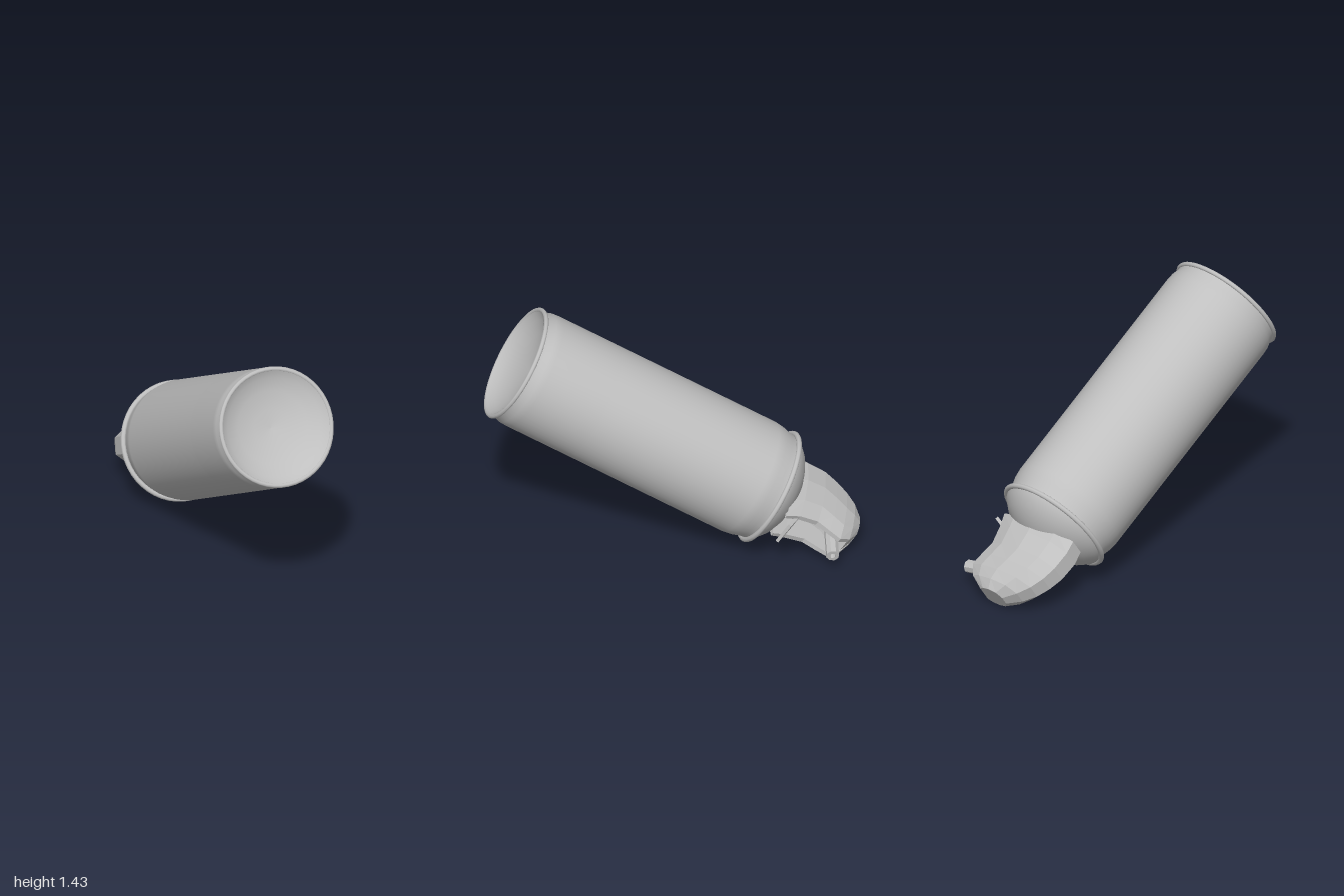
import * as THREE from 'three';

const metal = new THREE.MeshStandardMaterial({ color: 0xbfbfbf, side: THREE.DoubleSide });
metal.name = 'plain grey';

function part(name, geometry, parent) {
  const mesh = new THREE.Mesh(geometry, metal);
  mesh.name = name;
  parent.add(mesh);
  return mesh;
}

// Turned part from [radius, height] pairs, ordered from base to top
function turned(profile, sides = 48) {
  return new THREE.LatheGeometry(profile.map(([r, y]) => new THREE.Vector2(r, y)), sides);
}

function bead(radius, tube, y) {
  return new THREE.TorusGeometry(radius, tube, 8, 48).rotateX(Math.PI / 2).translate(0, y, 0);
}

function faceted(geometry) {
  const flat = geometry.index ? geometry.toNonIndexed() : geometry;
  flat.computeVertexNormals();
  return flat;
}

// C-shaped cross-section: rounded back, two side walls and a slot at the front
function capSection([y, back, front, w, slotEnd, slotHalf]) {
  const len = front - back;
  const half = [
    [back, 0.35 * w], [back + 0.18 * len, 0.85 * w], [back + 0.5 * len, w],
    [back + 0.8 * len, 0.9 * w], [front, 0.65 * w], [front, slotHalf], [slotEnd, slotHalf],
  ];
  const other = half.map(([x, z]) => [x, -z]).reverse();
  return [...half, ...other].map(([x, z]) => [x, y, z]);
}

function loft(loops) {
  const n = loops[0].length;
  const index = [];
  for (let i = 0; i < loops.length - 1; i++) {
    for (let j = 0; j < n; j++) {
      const a = i * n + j, b = i * n + (j + 1) % n;
      index.push(a, b, a + n, b, b + n, a + n);
    }
  }
  // Bridge the two halves of the last loop to close the top
  const top = (loops.length - 1) * n;
  for (let j = 0; j < n / 2 - 1; j++) {
    const a = top + j, b = a + 1, c = top + n - 1 - j, d = c - 1;
    index.push(a, b, c, b, d, c);
  }
  const geometry = new THREE.BufferGeometry();
  geometry.setAttribute('position', new THREE.Float32BufferAttribute(loops.flat(2), 3));
  geometry.setIndex(index);
  return faceted(geometry);
}

export function createModel() {
  const model = new THREE.Group();
  model.name = 'sprayCan';

  // The can is built along +y, then tipped so that its base faces the front
  const can = new THREE.Group();
  can.name = 'can';
  const axis = new THREE.Vector3(0.223, -0.512, -0.83).normalize();
  const side = new THREE.Vector3(1, 0, 0).addScaledVector(axis, -axis.x).normalize();
  const basis = new THREE.Matrix4().makeBasis(side, axis, side.clone().cross(axis));
  can.quaternion.setFromRotationMatrix(basis);
  can.position.set(-0.21, 1.17, 0.81);
  model.add(can);

  // Concave base, rims, wall and shoulder
  part('base', turned([[0, 0.09], [0.1, 0.082], [0.2, 0.058], [0.27, 0.025], [0.305, -0.005]]), can);
  part('baseRim', bead(0.316, 0.013, 0), can);
  part('wall', turned([
    [0.315, 0], [0.315, 0.03], [0.325, 0.06], [0.328, 0.1], [0.328, 0.465], [0.326, 0.468],
    [0.328, 0.471], [0.328, 1.46], [0.322, 1.51], [0.31, 1.55], [0.305, 1.59],
  ]), can);
  part('shoulderRim', bead(0.315, 0.015, 1.59), can);
  part('shoulder', turned([
    [0.31, 1.59], [0.295, 1.62], [0.25, 1.665], [0.19, 1.7], [0.13, 1.725], [0.1, 1.73],
    [0.1, 1.77], [0, 1.775],
  ]), can);

  // Spray head, turned slightly about the can
  const head = new THREE.Group();
  head.name = 'sprayHead';
  head.rotation.y = 0.27;
  can.add(head);

  // Each row: height, back, front, half width, slot end, slot half width
  part('cap', loft([
    [1.67, -0.25, 0.27, 0.13, 0.02, 0.065],
    [1.75, -0.27, 0.23, 0.14, 0.03, 0.065],
    [1.86, -0.265, 0.2, 0.135, 0.05, 0.06],
    [1.94, -0.24, 0.22, 0.125, 0.08, 0.055],
    [2.01, -0.2, 0.235, 0.115, 0.14, 0.05],
    [2.07, -0.14, 0.19, 0.1, 0.18, 0.04],
    [2.12, -0.06, 0.1, 0.07, 0.095, 0.03],
  ].map(capSection)), head);

  part('valveStem', new THREE.CylinderGeometry(0.045, 0.05, 0.25, 12).translate(0, 1.87, 0), head);

  // Hollow nozzle pointing out of the slot
  const nozzle = part('nozzle', faceted(turned([
    [0.036, 0], [0.036, 0.28], [0.016, 0.28], [0.016, 0.22], [0, 0.22],
  ], 8)), head);
  nozzle.position.set(0.04, 1.965, 0.012);
  nozzle.rotation.z = -Math.PI / 2 + 0.14;

  // Flared lip below the nozzle
  const lip = part('lip', new THREE.BoxGeometry(0.17, 0.018, 0.14), head);
  lip.position.set(0.235, 1.735, 0);
  lip.rotation.z = -0.4;

  return model;
}
